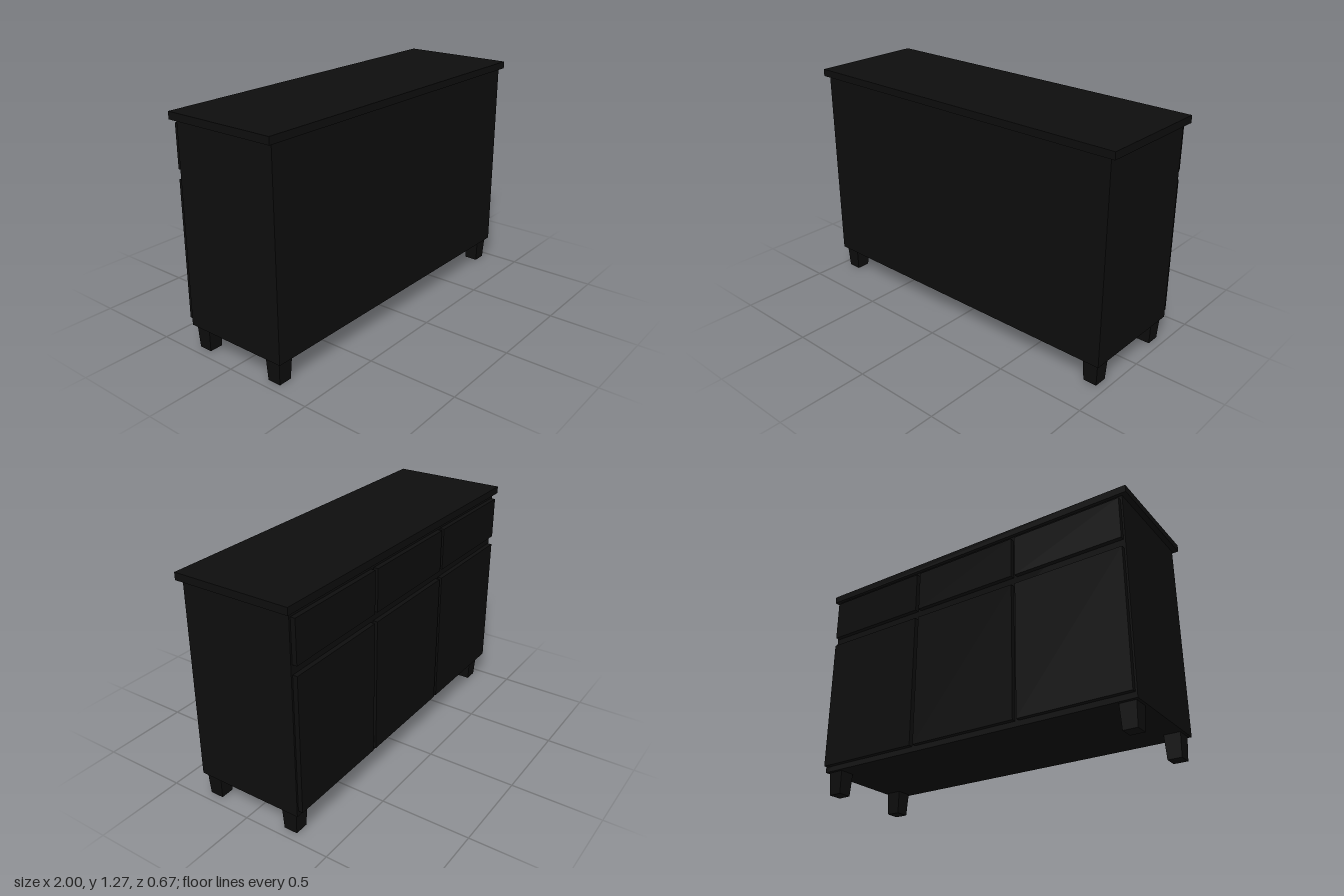
import * as THREE from 'three';

export function createModel() {
  const model = new THREE.Group();
  model.name = 'sideboard';
  const black = new THREE.MeshStandardMaterial({ color: 0x0d0d0d });
  black.name = 'black paint';

  // Box given by its minimum and maximum corners
  function addBox(name, [x0, y0, z0], [x1, y1, z1]) {
    const mesh = new THREE.Mesh(new THREE.BoxGeometry(x1 - x0, y1 - y0, z1 - z0), black);
    mesh.name = name;
    mesh.position.set((x0 + x1) / 2, (y0 + y1) / 2, (z0 + z1) / 2);
    model.add(mesh);
  }

  // Carcass and overhanging top
  addBox('carcass', [-0.97, 0.13, -0.307], [0.97, 1.235, 0.315]);
  addBox('top', [-1, 1.235, -0.327], [1, 1.275, 0.333]);

  // Three columns, each a drawer above a door
  const columns = [[-0.96, -0.337], [-0.315, 0.315], [0.337, 0.96]];
  for (const [x0, x1] of columns) {
    addBox('drawerFront', [x0, 0.975, -0.333], [x1, 1.21, -0.307]);
    addBox('door', [x0, 0.16, -0.333], [x1, 0.923, -0.307]);
  }

  // Square tapered legs
  const legGeometry = new THREE.CylinderGeometry(0.09 * Math.SQRT1_2, 0.077 * Math.SQRT1_2, 0.13, 4)
    .rotateY(Math.PI / 4).toNonIndexed();
  legGeometry.computeVertexNormals();
  for (const x of [-0.91, 0.91]) {
    for (const z of [-0.243, 0.252]) {
      const leg = new THREE.Mesh(legGeometry, black);
      leg.name = 'leg';
      leg.position.set(x, 0.065, z);
      model.add(leg);
    }
  }
  return model;
}
